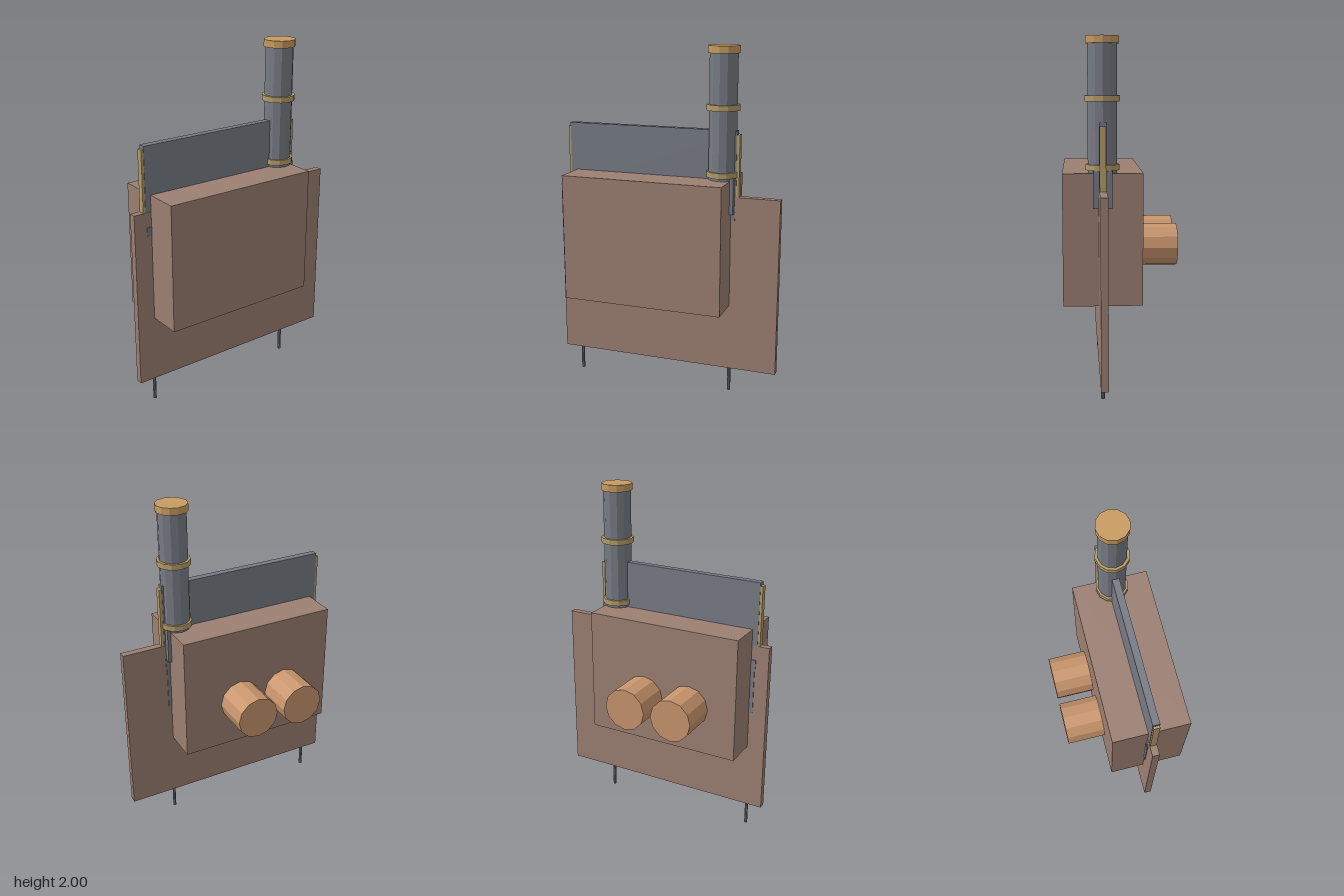
import * as THREE from 'three';

const mat = (name, color) => new THREE.MeshStandardMaterial({ name, color, flatShading: true });

export function createModel() {
  const model = new THREE.Group();
  model.name = 'model';
  const brown = mat('brown', 0x9c7f72);
  const grey = mat('steel grey', 0x777b84);
  const copper = mat('copper', 0xc8956c);
  const brass = mat('brass', 0xb59c68);
  const gold = mat('gold tan', 0xc89b62);

  const add = (name, geometry, material, x, y, z) => {
    const mesh = new THREE.Mesh(geometry, material);
    mesh.name = name;
    mesh.position.set(x, y, z);
    model.add(mesh);
    return mesh;
  };
  // Box given by its lower and upper corners
  const box = (name, material, [x0, y0, z0], [x1, y1, z1]) =>
    add(name, new THREE.BoxGeometry(x1 - x0, y1 - y0, z1 - z0), material,
      (x0 + x1) / 2, (y0 + y1) / 2, (z0 + z1) / 2);
  // Upright cylinder between two heights
  const column = (name, material, r, y0, y1, x, z, sides = 12) =>
    add(name, new THREE.CylinderGeometry(r, r, y1 - y0, sides), material, x, (y0 + y1) / 2, z);

  // Body: thin board through a deep box
  box('board', brown, [-0.665, 0.145, 0.09], [0.66, 1.175, 0.131]);
  box('housing', brown, [-0.56, 0.535, -0.11], [0.38, 1.27, 0.33]);

  // Upright panel with brass end strips
  box('panel', grey, [-0.593, 1.16, 0.0905], [0.408, 1.545, 0.1305]);
  box('endStrip', brass, [-0.607, 1.15, 0.093], [-0.593, 1.525, 0.128]);
  box('endStrip', brass, [0.408, 1.15, 0.093], [0.424, 1.525, 0.128]);

  // Clips on the board, legs below it
  for (const [x0, x1, leg] of [[-0.588, -0.555, -0.564], [0.375, 0.405, 0.381]]) {
    box('clip', grey, [x0, 1.04, 0.085], [x1, 1.09, 0.135]);
    box('backStrip', grey, [x0 + 0.005, 0.76, 0.086], [x1 - 0.005, 1.04, 0.1]);
    column('leg', grey, 0.01, 0, 0.2, leg, 0.113, 8);
  }

  // Stack with collars and cap
  const sx = 0.323, sz = 0.11;
  column('stack', grey, 0.08, 1.27, 1.97, sx, sz);
  column('lowerCollar', brass, 0.092, 1.285, 1.317, sx, sz);
  column('upperCollar', brass, 0.095, 1.655, 1.687, sx, sz);
  column('cap', gold, 0.09, 1.96, 2, sx, sz);
  for (const z of [0.058, 0.132]) {
    box('stackProng', grey, [0.376, 1.08, z], [0.4, 1.29, z + 0.032]);
  }

  // Two drums on the back
  for (const x of [-0.265, 0.027]) {
    const drum = add('backDrum', new THREE.CylinderGeometry(0.125, 0.125, 0.24, 12), copper, x, 0.813, -0.21);
    drum.rotation.x = Math.PI / 2;
  }
  return model;
}
